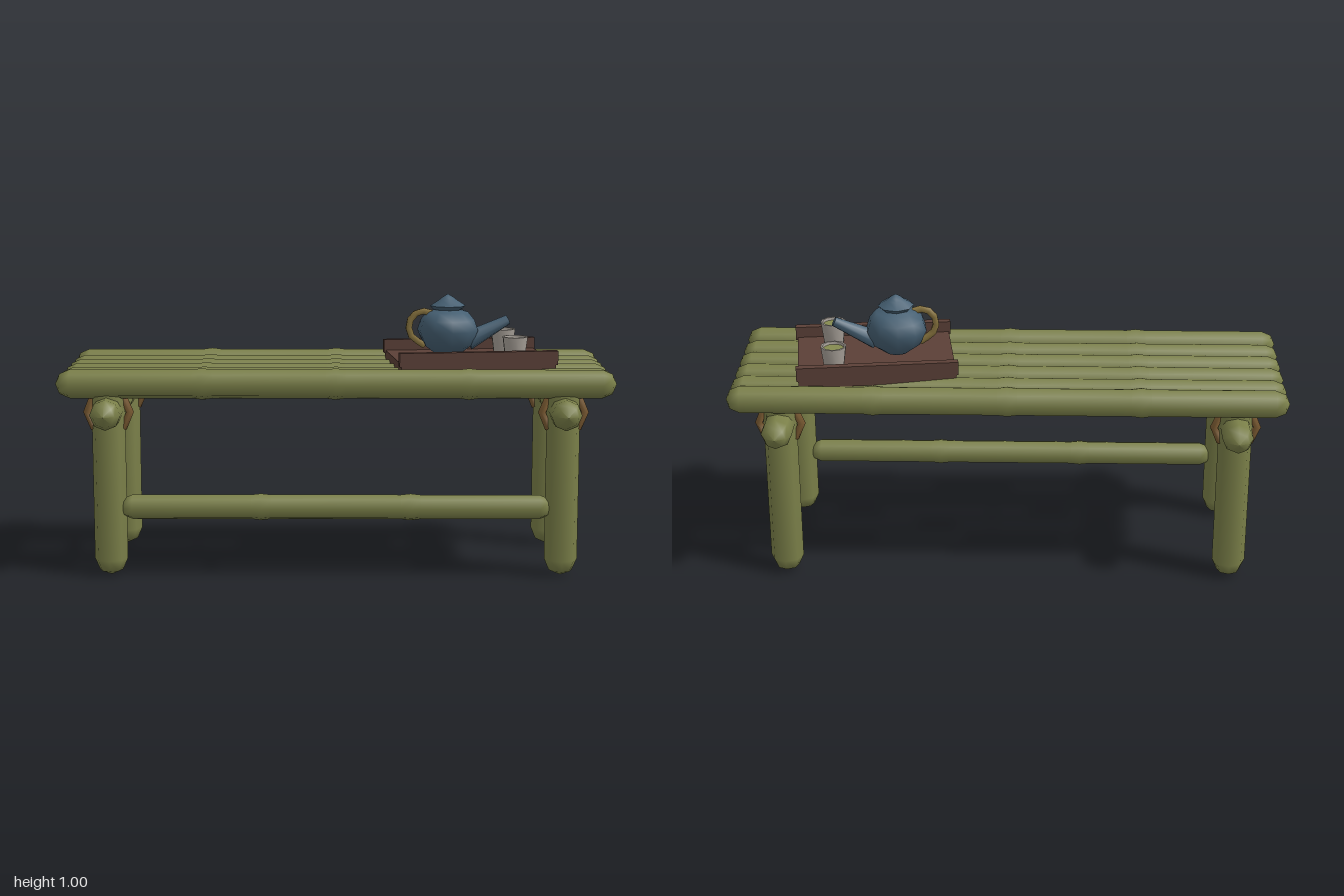
import * as THREE from 'three';
import { toCreasedNormals } from 'three/addons/utils/BufferGeometryUtils.js';

function material(name, color) {
  const m = new THREE.MeshStandardMaterial({ color });
  m.name = name;
  return m;
}

const lathe = (points, sides) =>
  new THREE.LatheGeometry(points.map(([r, y]) => new THREE.Vector2(r, y)), sides);

// Bamboo pole along y, centred, with rounded ends and slightly raised joints
function poleGeometry(length, r, joints = []) {
  const h = length / 2;
  const points = [[0, -h], [r * 0.7, -h + r * 0.3], [r, -h + r]];
  for (const j of joints) points.push([r, j - 0.035], [r * 1.09, j], [r, j + 0.035]);
  points.push([r, h - r], [r * 0.7, h - r * 0.3], [0, h]);
  return lathe(points, 8);
}

export function createModel() {
  const bamboo = material('bamboo green', 0x7b8049);
  const wood = material('dark wood', 0x5b4037);
  const glaze = material('blue glaze', 0x466073);
  const clay = material('pale clay', 0xa8a199);
  const rope = material('rope brown', 0x7d5c33);
  const cane = material('cane', 0x84703c);
  const tea = material('green tea', 0x858a50);

  const model = new THREE.Group();
  function add(parent, name, geometry, mat, x = 0, y = 0, z = 0) {
    const mesh = new THREE.Mesh(geometry, mat);
    mesh.name = name;
    mesh.position.set(x, y, z);
    parent.add(mesh);
    return mesh;
  }

  // Seat slats
  for (let i = 0; i < 6; i++) {
    const outer = i === 0 || i === 5;
    const geometry = poleGeometry(2, outer ? 0.052 : 0.048, [-0.475, 0, 0.475]);
    const slat = add(model, 'seatSlat', geometry, bamboo, 0, outer ? 0.705 : 0.7, -0.275 + i * 0.109);
    slat.rotation.z = Math.PI / 2;
  }

  // End frames: cross bar, two legs and rope lashings
  for (const x of [-0.815, 0.815]) {
    const bar = add(model, 'crossBar', poleGeometry(0.816, 0.055, [0]), bamboo, x, 0.605, 0);
    bar.rotation.x = Math.PI / 2;
    for (const z of [-0.245, 0.245]) {
      add(model, 'leg', poleGeometry(0.72, 0.06), bamboo, x, 0.362, z);
      add(model, 'ropeLashing', new THREE.TorusGeometry(0.076, 0.015, 5, 8), rope, x, 0.6, z);
    }
  }

  // Single low rail between the front legs
  const rail = add(model, 'frontRail', poleGeometry(1.56, 0.045, [-0.27, 0.27]), bamboo, 0, 0.252, 0.245);
  rail.rotation.z = Math.PI / 2;

  // Tray with raised long edges
  const tray = new THREE.Group();
  tray.name = 'tray';
  tray.position.set(0.489, 0, -0.002);
  tray.rotation.y = 0.125;
  model.add(tray);
  add(tray, 'trayBase', new THREE.BoxGeometry(0.565, 0.038, 0.405), wood, 0, 0.751, 0);
  for (const z of [-0.193, 0.193]) {
    add(tray, 'trayEdge', new THREE.BoxGeometry(0.578, 0.05, 0.028), wood, 0, 0.785, z);
  }

  // Teapot
  const pot = new THREE.Group();
  pot.name = 'teapot';
  pot.position.set(0.41, 0, 0.008);
  pot.rotation.y = 0.125;
  model.add(pot);
  const body = [[0, 0.77], [0.045, 0.778], [0.088, 0.81], [0.113, 0.866], [0.1, 0.905], [0.075, 0.935], [0, 0.955]];
  add(pot, 'teapotBody', lathe(body, 10), glaze);
  const lid = [[0, 0.94], [0.052, 0.943], [0.066, 0.957], [0.033, 0.978], [0.022, 0.987], [0, 1]];
  add(pot, 'teapotLid', toCreasedNormals(lathe(lid, 8), 0.8), glaze);

  // Tapered spout leaning outward
  const from = new THREE.Vector3(0.075, 0.825, 0);
  const to = new THREE.Vector3(0.226, 0.902, 0);
  const axis = to.clone().sub(from);
  const spoutGeometry = toCreasedNormals(new THREE.CylinderGeometry(0.018, 0.036, axis.length(), 8), 0.9);
  const spout = add(pot, 'spout', spoutGeometry, glaze);
  spout.position.copy(from).add(to).multiplyScalar(0.5);
  spout.quaternion.setFromUnitVectors(new THREE.Vector3(0, 1, 0), axis.normalize());

  // Bent cane handle
  const handlePath = new THREE.CatmullRomCurve3(
    [[-0.06, 0.93], [-0.105, 0.937], [-0.142, 0.9], [-0.137, 0.85], [-0.085, 0.81]]
      .map(([x, y]) => new THREE.Vector3(x, y, 0)));
  add(pot, 'handle', new THREE.TubeGeometry(handlePath, 7, 0.013, 6), cane);

  // Two filled cups
  const cup = [[0, 0], [0.036, 0], [0.047, 0.084], [0.04, 0.084], [0.036, 0.06]];
  for (const [x, z] of [[0.626, -0.133], [0.651, 0.098]]) {
    add(model, 'cup', toCreasedNormals(lathe(cup, 10), 0.8), clay, x, 0.77, z);
    const surface = add(model, 'teaSurface', new THREE.CircleGeometry(0.039, 10), tea, x, 0.844, z);
    surface.rotation.x = -Math.PI / 2;
  }

  return model;
}
